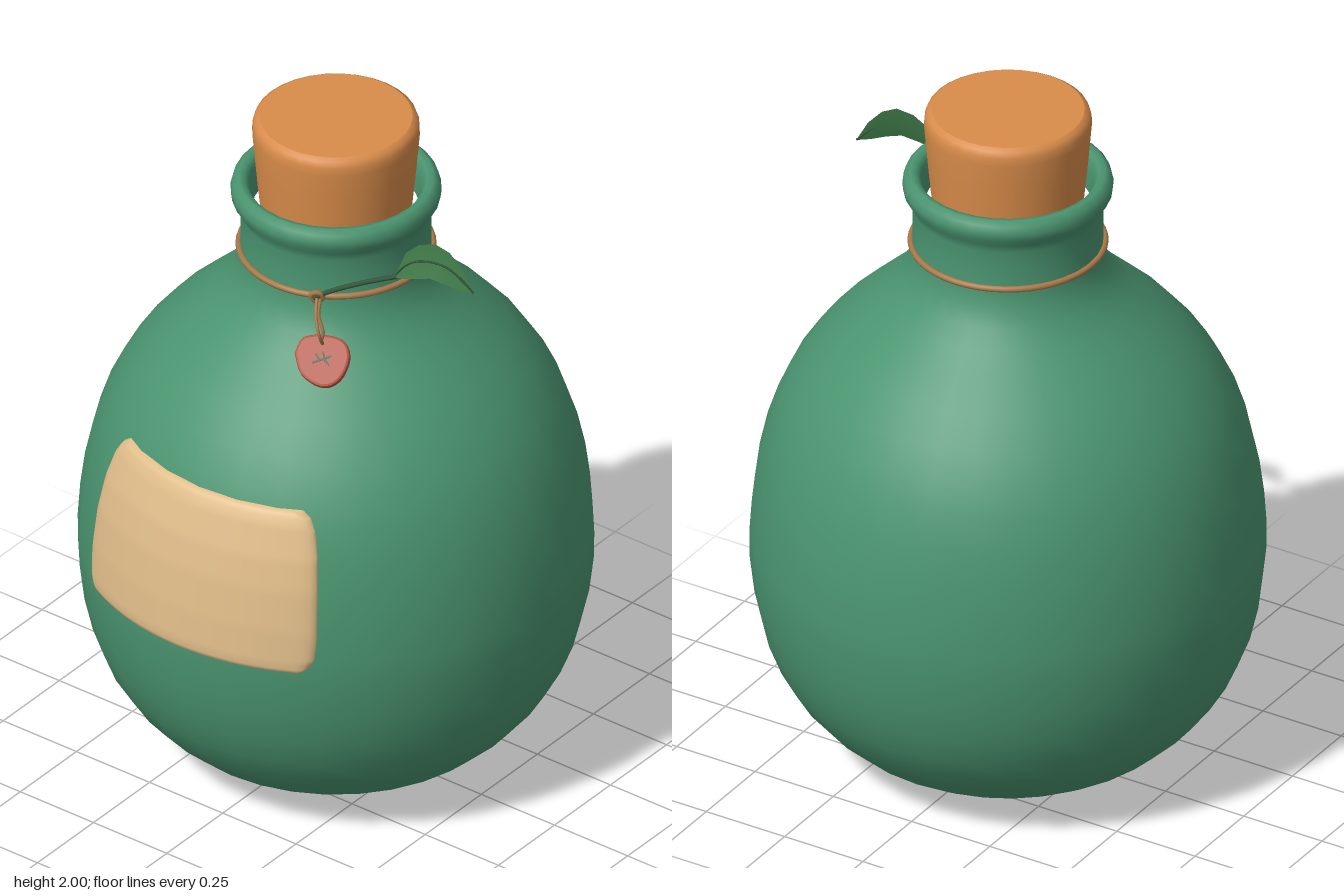
import * as THREE from 'three';
import { ParametricGeometry } from 'three/addons/geometries/ParametricGeometry.js';

const mat = (name, color, side = THREE.FrontSide) => {
  const m = new THREE.MeshStandardMaterial({ color, side });
  m.name = name;
  return m;
};

// Bottle side, [radius, height], from base to lip
const PROFILE = [
  [0.27, 0], [0.33, 0.025], [0.40, 0.06], [0.47, 0.105], [0.535, 0.165], [0.585, 0.225], [0.63, 0.3],
  [0.665, 0.39], [0.688, 0.49], [0.701, 0.6], [0.702, 0.68], [0.695, 0.78], [0.682, 0.88], [0.66, 0.98],
  [0.63, 1.07], [0.592, 1.15], [0.54, 1.23], [0.475, 1.305], [0.40, 1.375], [0.34, 1.43], [0.296, 1.48],
  [0.27, 1.53], [0.26, 1.58], [0.259, 1.65], [0.26, 1.7], [0.268, 1.725], [0.284, 1.748], [0.287, 1.77],
  [0.281, 1.792], [0.265, 1.804], [0.248, 1.8], [0.237, 1.785], [0.23, 1.75], [0.228, 1.7]
];
// Half width of the label by height, [half width, height]
const LABEL = [[0.345, 0.645], [0.37, 0.66], [0.384, 0.69], [0.388, 0.75], [0.38, 0.88], [0.365, 0.99],
  [0.345, 1.06], [0.325, 1.095], [0.298, 1.115]];

// Linear lookup of the first column by height
function at(table, y) {
  let i = 0;
  while (i < table.length - 2 && table[i + 1][1] < y) i++;
  const [a, ya] = table[i], [b, yb] = table[i + 1];
  return a + (b - a) * (y - ya) / (yb - ya);
}

export function createModel() {
  const root = new THREE.Group();
  root.name = 'corkedBottle';
  const glass = mat('greenGlass', 0x4a9470);
  const cork = mat('cork', 0xd98c4a);
  const paper = mat('labelPaper', 0xe0bd8a);
  const twine = mat('twine', 0xa8794a);
  const wax = mat('redWax', 0xb04e3a);
  const stemGreen = mat('stemGreen', 0x33583a);
  const leafGreen = mat('leafGreen', 0x3f7a48, THREE.DoubleSide);

  const add = (name, geo, material, parent = root) => {
    const m = new THREE.Mesh(geo, material);
    m.name = name;
    parent.add(m);
    return m;
  };
  const vec = (p) => new THREE.Vector3(...p);
  const lathe = (pts) => new THREE.LatheGeometry(pts.map((p) => new THREE.Vector2(...p)), 32);
  const tube = (pts, r, n = 16) =>
    new THREE.TubeGeometry(new THREE.CatmullRomCurve3(pts.map(vec)), n, r, 6);

  // Bottle with a flat base
  const body = new THREE.Group();
  body.name = 'bottle';
  body.position.z = -0.005;
  root.add(body);
  add('bottleWall', lathe(PROFILE), glass, body);
  add('bottleBase', lathe([[0, 0], [0.27, 0]]), glass, body);

  // Cork: slightly tapered side with a rounded upper edge
  add('corkSide', lathe([[0.205, 1.7], [0.215, 1.8], [0.222, 1.88], [0.228, 1.95], [0.227, 1.975],
    [0.221, 1.992], [0.208, 2]]), cork, body);
  add('corkTop', lathe([[0.208, 2], [0, 2]]), cork, body);

  // Label wrapped on the belly, edges curling into the glass
  add('label', new ParametricGeometry((u, v, out) => {
    const s = Math.sin((u - 0.5) * Math.PI), t = Math.sin((v - 0.5) * Math.PI);
    const y = 0.88 + 0.235 * t;
    const edge = Math.max(Math.abs(s) ** 24, Math.abs(t) ** 40);
    const r = at(PROFILE, y) - 0.012 + 0.026 * Math.sqrt(Math.max(0, 1 - edge));
    const a = s * Math.asin(at(LABEL, y) / (at(PROFILE, y) + 0.005));
    out.set(r * Math.sin(a), y, r * Math.cos(a));
  }, 28, 24), paper, body);

  // Twine round the neck, with a knot
  const ring = add('neckTwine', new THREE.TorusGeometry(0.264, 0.009, 8, 48), twine, body);
  ring.rotation.x = Math.PI / 2;
  ring.position.y = 1.587;
  const knot = add('twineKnot', new THREE.TorusGeometry(0.016, 0.008, 6, 12), twine);
  knot.position.set(0.13, 1.598, 0.25);
  knot.rotation.set(0.3, 0.5, 0);
  for (const d of [0, 0.012]) {
    add('tagTwine', tube([[0.13 + d, 1.595, 0.25], [0.148, 1.55, 0.277 - d], [0.167, 1.505, 0.288 - d * 1.5],
      [0.165 - d, 1.465, 0.268]], 0.005), twine);
  }

  // Wax tag lying on the shoulder
  const tag = new THREE.Group();
  tag.name = 'waxTag';
  tag.position.set(0.178, 1.427, 0.287);
  tag.lookAt(0.178 + 0.3, 1.427 + 0.72, 0.287 + 0.62);
  root.add(tag);
  const outline = [[-0.07, 0.012], [-0.055, 0.052], [0, 0.063], [0.05, 0.052], [0.068, 0.01],
    [0.052, -0.045], [0.012, -0.068], [-0.045, -0.042]].map((p) => new THREE.Vector2(...p));
  const tagShape = new THREE.Shape(new THREE.SplineCurve([...outline, outline[0]]).getPoints(32).slice(0, -1));
  add('tagDisc', new THREE.ExtrudeGeometry(tagShape, {
    depth: 0.012, bevelThickness: 0.006, bevelSize: 0.007, bevelSegments: 2
  }), wax, tag);

  // Small painted sprig on the tag: [x, y, length, angle]
  for (const [x, y, len, a] of [[0, 0, 0.055, 0.45], [-0.012, 0.006, 0.022, -0.9], [0.004, 0.012, 0.022, 1.9],
    [0.014, -0.006, 0.02, -0.7]]) {
    const mark = add('sprigMark', new THREE.BoxGeometry(len, 0.005, 0.002), stemGreen, tag);
    mark.position.set(x, y, 0.0185);
    mark.rotation.z = a;
  }

  // Stem tucked under the twine
  add('leafStem', tube([[0.115, 1.585, 0.255], [0.16, 1.618, 0.235], [0.24, 1.655, 0.19], [0.325, 1.688, 0.148]],
    0.007), stemGreen);

  // Leaf folded along its midrib: stations of [x, lower y, middle y, upper y]
  const stations = [[0.318, 1.685, 1.686, 1.687], [0.345, 1.69, 1.725, 1.765], [0.38, 1.7, 1.75, 1.797],
    [0.425, 1.712, 1.758, 1.81], [0.465, 1.703, 1.75, 1.793], [0.505, 1.69, 1.722, 1.75],
    [0.54, 1.685, 1.686, 1.687]];
  const leafZ = (x) => 0.15 - (x - 0.318) * 0.29;
  const pos = [], index = [];
  stations.forEach(([x, lo, mid, up], i) => {
    const fold = (up - lo) * 0.13;
    pos.push(x, lo, leafZ(x) + fold, x, mid, leafZ(x) - fold * 0.3, x, up, leafZ(x) - fold);
    if (!i) return;
    for (const k of [0, 1]) {
      const a = (i - 1) * 3 + k, b = a + 3;
      index.push(a, b, b + 1, a, b + 1, a + 1);
    }
  });
  const leaf = new THREE.BufferGeometry();
  leaf.setAttribute('position', new THREE.Float32BufferAttribute(pos, 3));
  leaf.setIndex(index);
  leaf.computeVertexNormals();
  add('leaf', leaf, leafGreen);
  add('leafMidrib', tube(stations.map(([x, , mid]) => [x, mid, leafZ(x)]), 0.003, 20), stemGreen);

  return root;
}
